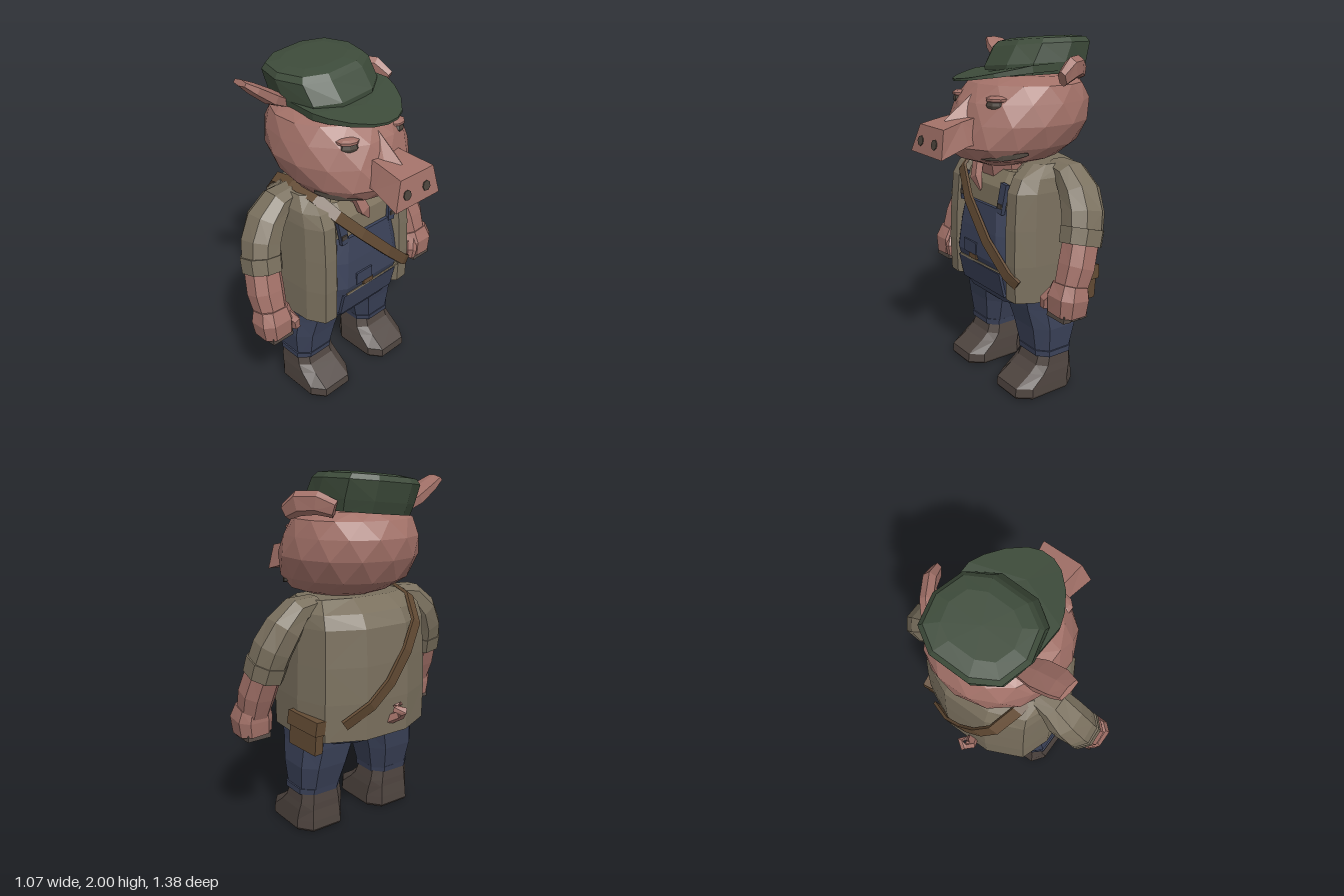
import * as THREE from 'three';

const mat = (name, color) => Object.assign(new THREE.MeshStandardMaterial({ color }), { name });

export function createModel() {
  const root = new THREE.Group();
  root.name = 'pigFarmer';
  const M = {
    skin: mat('skin', 0xa27168), jacket: mat('jacket', 0x7a705e), shirt: mat('shirt', 0x7f745f),
    denim: mat('denim', 0x3b4259), cap: mat('cap', 0x3d4b3a), boot: mat('boot', 0x4e443f),
    leather: mat('leather', 0x634b34), dark: mat('dark', 0x4c443c), hoof: mat('hoof', 0x544a44),
  };

  const add = (name, geo, material, parent = root) => {
    const g = geo.index ? geo.toNonIndexed() : geo;
    g.computeVertexNormals(); // faceted look
    const mesh = new THREE.Mesh(g, material);
    mesh.name = name;
    parent.add(mesh);
    return mesh;
  };

  // Joins equal-length rings of [x,y,z] into a closed faceted solid
  const loft = (rings) => {
    const tris = [], n = rings[0].length;
    const mid = r => [0, 1, 2].map(k => r.reduce((s, p) => s + p[k], 0) / n);
    for (let i = 0; i < n; i++) {
      const j = (i + 1) % n;
      for (let k = 0; k < rings.length - 1; k++) {
        const a = rings[k], b = rings[k + 1];
        if (k % 2) tris.push([a[i], a[j], b[j]], [a[i], b[j], b[i]]);
        else tris.push([a[i], a[j], b[i]], [a[j], b[j], b[i]]);
      }
      const last = rings[rings.length - 1];
      tris.push([mid(rings[0]), rings[0][j], rings[0][i]], [mid(last), last[i], last[j]]);
    }
    let volume = 0;
    const o = new THREE.Vector3(...mid(rings[0]));
    for (const t of tris) {
      const [a, b, c] = t.map(p => new THREE.Vector3(...p).sub(o));
      volume += a.dot(b.cross(c));
    }
    if (volume < 0) tris.forEach(t => t.reverse());
    const g = new THREE.BufferGeometry();
    g.setAttribute('position', new THREE.Float32BufferAttribute(tris.flat(2), 3));
    return g;
  };

  // Unit outline; a low power makes it boxier
  const outline = (n, power = 1, turn = 0.5) => {
    const pts = Array.from({ length: n }, (_, i) => {
      const a = (i + turn) / n * Math.PI * 2;
      return [Math.cos(a), Math.sin(a)].map(v => Math.sign(v) * Math.abs(v) ** power);
    });
    const mx = Math.max(...pts.map(p => p[0])), my = Math.max(...pts.map(p => p[1]));
    return pts.map(p => [p[0] / mx, p[1] / my]);
  };

  // Level rows of [y, back x, front x, half width, centre z]
  const stack = (rows, n, power, twist = 0) => loft(rows.map(([y, x0, x1, w, cz = 0], k) =>
    outline(n, power, 0.5 + (k % 2) * twist).map(([u, v]) =>
      [(x0 + x1) / 2 + u * (x1 - x0) / 2, y, cz + v * w])));

  // Path rows of [x, y, z, half width along side, half thickness]
  const sweep = (rows, n, power, sideOf = () => new THREE.Vector3(1, 0, 0)) => {
    const P = rows.map(r => new THREE.Vector3(r[0], r[1], r[2]));
    return loft(rows.map((r, i) => {
      const t = P[Math.min(i + 1, P.length - 1)].clone().sub(P[Math.max(i - 1, 0)]).normalize();
      const s = sideOf(P[i], t).clone();
      s.addScaledVector(t, -s.dot(t)).normalize();
      const q = t.clone().cross(s);
      return outline(n, power).map(([u, v]) =>
        P[i].clone().addScaledVector(s, u * r[3]).addScaledVector(q, v * r[4]).toArray());
    }));
  };
  const box = (name, size, pos, m, rot = [0, 0, 0], parent = root) => {
    const b = add(name, new THREE.BoxGeometry(...size), m, parent);
    b.position.set(...pos);
    b.rotation.set(...rot);
  };

  // Head
  add('head', stack([[1.3, -0.1, 0.14, 0.1], [1.36, -0.27, 0.31, 0.27], [1.43, -0.39, 0.35, 0.335],
    [1.55, -0.46, 0.325, 0.367], [1.66, -0.46, 0.27, 0.36], [1.75, -0.42, 0.2, 0.32],
    [1.79, -0.36, 0.1, 0.24]], 14, 0.95, 0.5), M.skin);
  add('neck', stack([[1.2, -0.2, 0.13, 0.17], [1.36, -0.2, 0.16, 0.19]], 10), M.skin);
  add('snout', loft([
    [[0.2, 1.45, -0.12], [0.2, 1.45, 0.12], [0.2, 1.6, 0.09], [0.2, 1.6, -0.09]],
    [[0.35, 1.45, -0.14], [0.35, 1.45, 0.14], [0.37, 1.575, 0.1], [0.37, 1.575, -0.11]],
    [[0.527, 1.4, -0.163], [0.527, 1.4, 0.163], [0.497, 1.55, 0.105], [0.497, 1.55, -0.14]]]), M.skin);
  add('snoutBridge', loft([
    [[0.2, 1.71, 0], [0.2, 1.5, 0.13], [0.2, 1.5, -0.13]],
    [[0.24, 1.7, 0], [0.28, 1.52, 0.12], [0.28, 1.52, -0.12]],
    [[0.41, 1.572, 0], [0.37, 1.53, 0.07], [0.37, 1.53, -0.07]]]), M.skin);
  for (const s of [1, -1]) {
    const nostril = add('nostril', new THREE.CylinderGeometry(0.028, 0.028, 0.008, 7), M.dark);
    nostril.position.set(0.515, 1.466, s * 0.072);
    nostril.rotation.z = -1.38;
    const eye = add('eye', new THREE.SphereGeometry(1, 8, 6), M.dark);
    eye.scale.set(0.036, 0.031, 0.058);
    eye.position.set(0.207, 1.655, s * 0.178);
    eye.rotation.y = -s * 0.5;
    const lid = add('eyelid', new THREE.SphereGeometry(1, 8, 5), M.skin);
    lid.scale.set(0.046, 0.02, 0.064);
    lid.position.set(0.201, 1.684, s * 0.178);
    lid.rotation.y = -s * 0.5;
    // Mouth corner following the cheek
    add('mouthCorner', sweep([[0.5, 0.005], [0.7, 0.014], [0.9, 0.02], [1.1, 0.017], [1.3, 0.006]].map(([a, w], i) =>
      [Math.cos(a) * (0.308 + i * 0.006), 1.378 + i * 0.007, s * Math.sin(a) * (0.282 + i * 0.008), w, 0.014]),
      4, 1, () => new THREE.Vector3(0, 1, 0)), M.dark);
  }
  add('chinTuft', sweep([[0.16, 1.31, 0.07, 0.02, 0.025], [0.19, 1.23, 0.045, 0.02, 0.03],
    [0.19, 1.16, 0, 0.004, 0.006]], 4, 1), M.skin);

  // One raised ear and one folded ear
  add('raisedEar', sweep([[-0.22, 1.78, 0.22, 0.05, 0.03], [-0.22, 1.84, 0.33, 0.075, 0.04],
    [-0.225, 1.91, 0.43, 0.072, 0.03], [-0.235, 1.95, 0.485, 0.055, 0.017]], 6, 0.8), M.skin);
  add('foldedEar', sweep([[-0.3, 1.81, -0.25, 0.03, 0.045], [-0.23, 1.84, -0.31, 0.032, 0.06],
    [-0.14, 1.835, -0.365, 0.032, 0.065], [-0.06, 1.79, -0.39, 0.022, 0.045]],
    6, 0.8, () => new THREE.Vector3(0.5, 0, 1)), M.skin);

  // Cap, tipped slightly to one side
  const hat = new THREE.Group();
  hat.name = 'cap';
  hat.position.y = 1.88;
  hat.rotation.x = 0.09;
  root.add(hat);
  add('crown', stack([[-0.1, -0.42, 0.09, 0.262], [-0.04, -0.44, 0.088, 0.272], [0.06, -0.462, 0.02, 0.275],
    [0.088, -0.445, -0.01, 0.25], [0.1, -0.37, -0.08, 0.18]], 10, 0.8), M.cap, hat);
  const edge = [[-0.14, 0.262], [0.04, 0.268], [0.12, 0.24], [0.22, 0.18], [0.3, 0.1], [0.33, 0.035]];
  const plan = [...edge, ...edge.map(([x, z]) => [x, -z]).reverse()];
  add('brim', loft([-0.085, -0.042].map((d, k) => plan.map(([x, z]) =>
    [x, d - (k ? 0.165 : 0.07) * Math.max(x, 0), z]))), M.cap, hat);

  // Open jacket, filled behind the bib
  const half = [[0.11, 0.17], [0.195, 0.255], [0.19, 0.335], [0.09, 0.39], [-0.16, 0.405], [-0.335, 0.345], [-0.43, 0.14]];
  const cut = [...half, ...half.map(([x, z]) => [x, -z]).reverse()];
  add('jacket', loft([[0.59, 1, 1], [0.8, 1.02, 1], [1.0, 1, 0.98], [1.2, 0.95, 0.96], [1.275, 0.82, 0.93], [1.34, 0.48, 0.82]]
    .map(([y, sx, sz]) => cut.map(([x, z]) => [-0.12 + (x + 0.12) * sx, y, z * sz]))), M.jacket);

  // Shirt and overalls
  add('shirt', stack([[0.95, -0.1, 0.178, 0.245], [1.2, -0.1, 0.165, 0.245], [1.29, -0.1, 0.11, 0.24]], 8, 0.4), M.shirt);
  add('bib', stack([[0.53, -0.1, 0.145, 0.22], [0.59, -0.1, 0.175, 0.262], [0.72, -0.1, 0.205, 0.262], [0.78, -0.1, 0.223, 0.262],
    [0.94, -0.1, 0.21, 0.24], [1.09, -0.1, 0.19, 0.21]], 8, 0.35), M.denim);
  add('hips', stack([[0.5, -0.26, 0.11, 0.14], [0.54, -0.33, 0.145, 0.3], [0.62, -0.38, 0.165, 0.375]], 10, 0.7), M.denim);
  box('frontPocket', [0.02, 0.15, 0.42], [0.187, 0.655, 0], M.denim, [0, 0, -0.22]);
  box('pocketTrim', [0.014, 0.013, 0.42], [0.209, 0.737, -0.02], M.shirt, [0.02, 0, 0]);
  box('smallPocket', [0.02, 0.075, 0.12], [0.218, 0.815, 0.065], M.denim);
  box('pocketTab', [0.014, 0.028, 0.075], [0.223, 0.766, 0.035], M.leather);
  for (const s of [1, -1]) {
    box('shoulderStrap', [0.025, 0.17, 0.05], [0.172, 1.15, s * 0.19], M.denim, [s * 0.12, 0, 0.12]);
    box('strapButton', [0.02, 0.025, 0.035], [0.186, 1.11, s * 0.19], M.dark);
  }

  // Arms, legs and boots
  for (const s of [1, -1]) {
    const side = s > 0 ? 'left' : 'right';
    const arm = rows => rows.map(([x, y, z, a, b]) => [x, y, z * s, a, b]);
    const leg = rows => rows.map(([y, x0, x1, w, z]) => [y, x0, x1, w, z * s]);
    add(side + 'Sleeve', sweep(arm([[-0.135, 1.31, 0.27, 0.075, 0.045], [-0.135, 1.285, 0.385, 0.09, 0.07],
      [-0.135, 1.2, 0.465, 0.108, 0.09], [-0.115, 1.1, 0.52, 0.11, 0.098], [-0.085, 0.99, 0.55, 0.105, 0.096]]), 8, 0.9), M.jacket);
    add(side + 'Cuff', sweep(arm([[-0.095, 1.03, 0.542, 0.112, 0.104], [-0.07, 0.945, 0.556, 0.11, 0.1]]), 8, 0.9), M.jacket);
    add(side + 'Forearm', sweep(arm([[-0.08, 0.98, 0.553, 0.09, 0.09], [-0.03, 0.84, 0.575, 0.09, 0.095],
      [0.015, 0.71, 0.58, 0.08, 0.082]]), 8, 0.85), M.skin);
    add(side + 'Hand', sweep(arm([[0.012, 0.75, 0.58, 0.08, 0.09], [0.028, 0.69, 0.585, 0.096, 0.104],
      [0.03, 0.6, 0.58, 0.09, 0.095]]), 8, 0.7), M.skin);
    add(side + 'Thumb', sweep(arm([[0.07, 0.71, 0.52, 0.03, 0.03], [0.1, 0.66, 0.49, 0.032, 0.03],
      [0.1, 0.61, 0.485, 0.025, 0.025]]), 6, 0.7), M.skin);
    for (const i of [-1, 0, 1]) {
      box(side + 'HoofNail', [0.05, 0.04, 0.14], [0.03 + i * 0.055, 0.59, s * 0.58], M.hoof, [0, 0, i * 0.1]);
    }
    add(side + 'Leg', stack(leg([[0.22, -0.2, 0.035, 0.128, 0.252], [0.4, -0.25, 0.062, 0.16, 0.238],
      [0.52, -0.268, 0.088, 0.172, 0.215], [0.62, -0.275, 0.105, 0.178, 0.21]]), 8, 0.65), M.denim);
    add(side + 'TrouserCuff', stack(leg([[0.228, -0.205, 0.044, 0.138, 0.255], [0.262, -0.212, 0.047, 0.14, 0.253]]), 8, 0.65), M.denim);
    add(side + 'Boot', stack(leg([[0, -0.205, 0.185, 0.145, 0.25], [0.015, -0.215, 0.195, 0.153, 0.25],
      [0.065, -0.212, 0.19, 0.15, 0.25], [0.13, -0.205, 0.09, 0.145, 0.25], [0.17, -0.205, 0.045, 0.138, 0.25],
      [0.235, -0.2, 0.02, 0.128, 0.252]]), 8, 0.55), M.boot);
  }

  // Satchel strap over the left shoulder, pouch on the right hip
  const hub = new THREE.Vector3(-0.12, 0.95, 0);
  add('satchelStrap', sweep([[0.185, 0.7, -0.345], [0.212, 0.745, -0.285], [0.235, 0.9, -0.12], [0.22, 1.1, 0.08],
    [0.17, 1.25, 0.22], [0.06, 1.335, 0.27], [-0.12, 1.36, 0.28], [-0.29, 1.32, 0.26], [-0.42, 1.2, 0.2],
    [-0.456, 1.06, 0.11], [-0.458, 0.9, 0], [-0.45, 0.79, -0.12], [-0.395, 0.69, -0.26]]
    .map(p => [...p, 0.032, 0.009]), 4, 0.6, (p, t) => t.clone().cross(p.clone().sub(hub))), M.leather);
  const pouch = new THREE.Group();
  pouch.name = 'pouch';
  pouch.position.set(-0.225, 0.635, -0.39);
  pouch.rotation.set(0, 0.15, 0.08);
  root.add(pouch);
  box('pouchBody', [0.21, 0.18, 0.055], [0, -0.01, 0], M.leather, [0, 0, 0], pouch);
  box('pouchFlap', [0.23, 0.08, 0.068], [0, 0.055, -0.003], M.leather, [0.1, 0, 0], pouch);

  // Curled tail
  const curl = [[-0.41, 0.67, 0.03], [-0.48, 0.71, 0.06], [-0.52, 0.745, 0.04], [-0.5, 0.76, 0], [-0.465, 0.755, 0.03], [-0.49, 0.78, 0.05]];
  add('tail', sweep(curl.map((p, i) => [...p, 0.03 - i * 0.004, 0.03 - i * 0.004]), 5, 1,
    () => new THREE.Vector3(0.3, 0.5, 1)), M.skin);

  return root;
}
